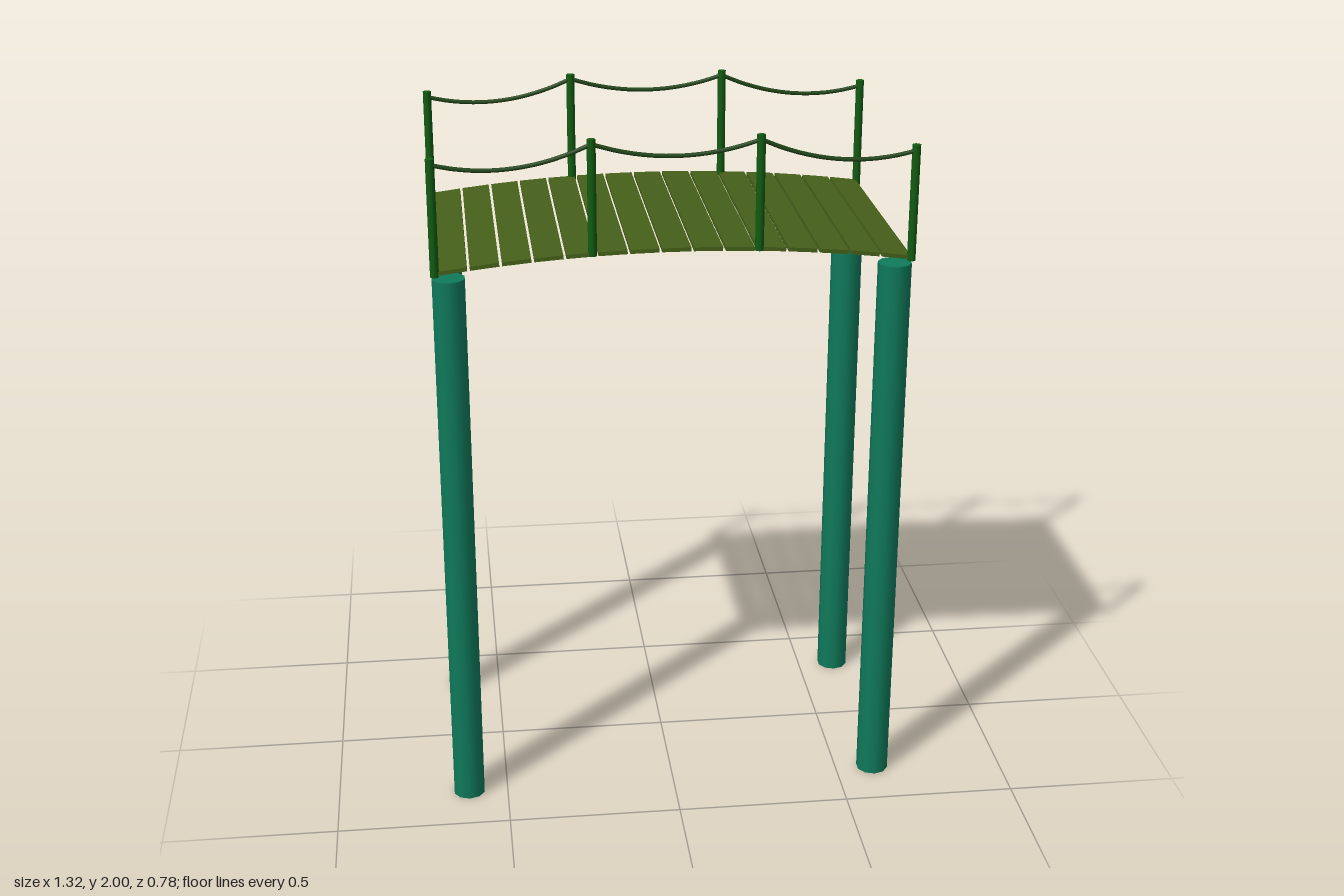
import * as THREE from 'three';

const mat = (color) => new THREE.MeshStandardMaterial({ color });

export function createModel() {
  const group = new THREE.Group();
  const legMat = mat(0x0f7a5a), plankMat = mat(0x46601a), postMat = mat(0x125c12), ropeMat = mat(0x1f4416);

  function add(name, geometry, material, x, y, z) {
    const mesh = new THREE.Mesh(geometry, material);
    mesh.name = name;
    mesh.position.set(x, y, z);
    group.add(mesh);
    return mesh;
  }

  // Four tall round piles
  const legGeo = new THREE.CylinderGeometry(0.047, 0.047, 1.615, 10);
  for (const x of [-0.614, 0.612]) {
    for (const z of [-0.326, 0.324]) add('leg', legGeo, legMat, x, 0.8075, z);
  }

  // Planks following a shallow arch
  const archY = (x) => 1.69 - 0.044 * (x / 0.64) ** 2;
  const count = 15, pitch = 0.0861;
  const plankGeo = new THREE.BoxGeometry(0.079, 0.011, 0.76);
  for (let i = 0; i < count; i++) {
    const x = (i - (count - 1) / 2) * pitch;
    const plank = add('plank', plankGeo, plankMat, x, archY(x), 0);
    plank.rotation.z = Math.atan((-0.088 * x) / (0.64 * 0.64));
  }

  // Railing posts and sagging ropes on both long sides
  const posts = [
    { x: -0.65, bottom: 1.636, top: 1.96, tie: 1.943 },
    { x: -0.227, bottom: 1.68, top: 2.0, tie: 1.986 },
    { x: 0.225, bottom: 1.68, top: 2.0, tie: 1.986 },
    { x: 0.645, bottom: 1.636, top: 1.96, tie: 1.943 },
  ];
  const sags = [0.038, 0.038, 0.038];
  for (const z of [-0.377, 0.375]) {
    for (const p of posts) {
      const h = p.top - p.bottom;
      add('railingPost', new THREE.CylinderGeometry(0.012, 0.012, h, 8), postMat, p.x, p.bottom + h / 2, z);
    }
    sags.forEach((sag, i) => {
      const a = posts[i], b = posts[i + 1], points = [];
      for (let k = 0; k <= 8; k++) {
        const t = k / 8;
        points.push(new THREE.Vector3(
          THREE.MathUtils.lerp(a.x, b.x, t),
          THREE.MathUtils.lerp(a.tie, b.tie, t) - 4 * sag * t * (1 - t), 0));
      }
      const rope = new THREE.TubeGeometry(new THREE.CatmullRomCurve3(points), 16, 0.006, 8);
      rope.scale(1, 1, 1.3);
      add('rope', rope, ropeMat, 0, 0, z);
    });
  }
  return group;
}
